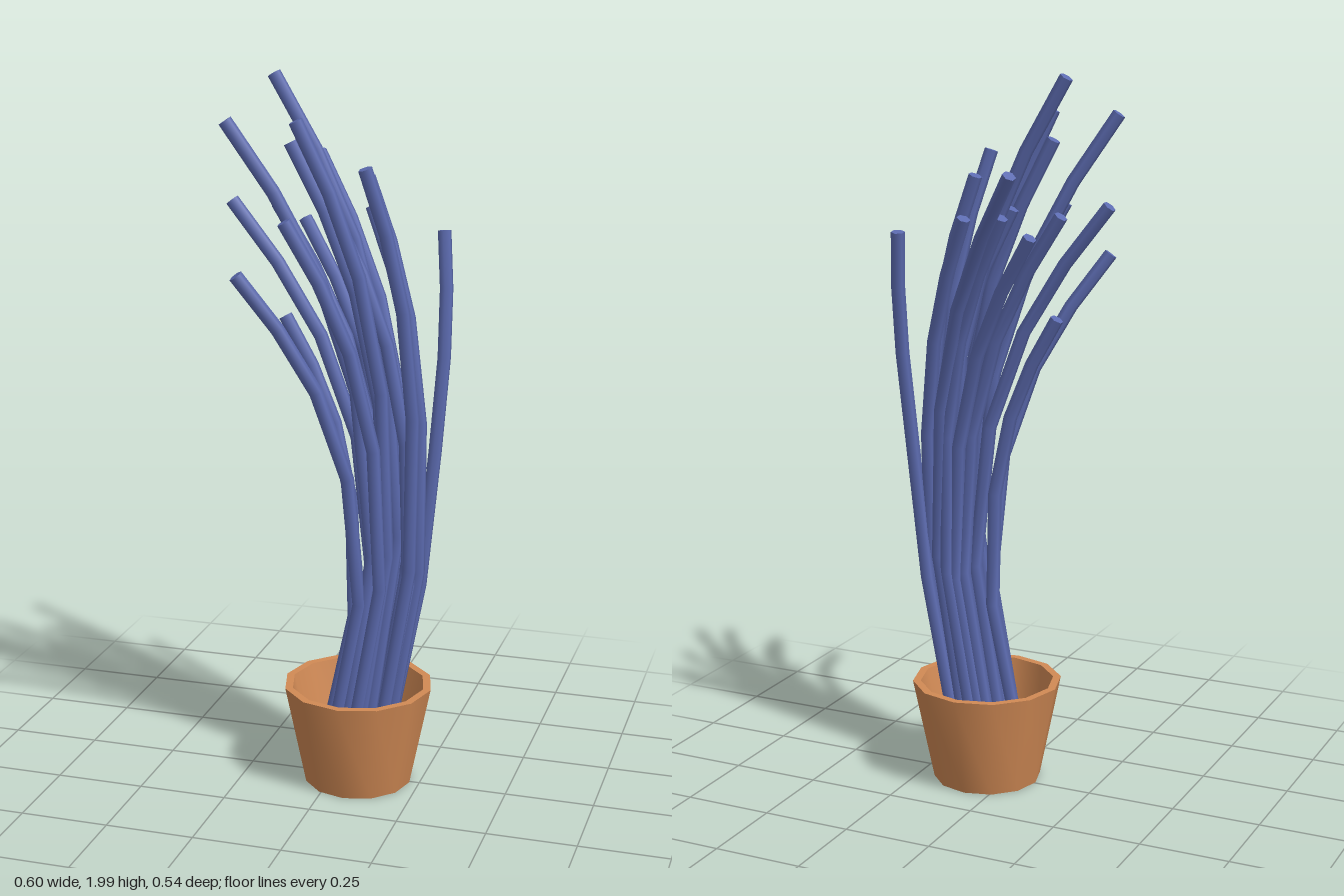
import * as THREE from 'three';
import { toCreasedNormals } from 'three/addons/utils/BufferGeometryUtils.js';

// Each stem: base x, base z, tip x, tip y, tip z
const STEMS = [
  [0.10, -0.035, -0.12, 1.75, -0.255],
  [0.05, -0.03, -0.13, 1.58, -0.15],
  [0.07, -0.04, -0.055, 1.63, -0.165],
  [0.13, -0.015, 0.06, 1.62, -0.152],
  [0.03, -0.02, -0.185, 1.63, -0.075],
  [0.08, -0.005, -0.175, 1.985, -0.022],
  [0.02, 0.03, -0.28, 1.65, 0.027],
  [-0.035, 0.035, -0.135, 1.34, 0.017],
  [0.12, 0.03, 0.0, 1.63, 0.023],
  [0.14, 0.01, 0.085, 1.72, -0.028],
  [0.06, 0.045, -0.105, 1.815, 0.057],
  [0.03, 0.07, -0.245, 1.88, 0.173],
  [-0.005, 0.08, -0.195, 1.49, 0.248],
  [0.07, 0.075, -0.055, 1.885, 0.168],
  [0.055, 0.09, -0.075, 1.63, 0.21],
  [0.125, 0.05, 0.13, 1.77, 0.165],
  [0.13, -0.035, 0.27, 1.57, -0.125],
];

// Shared bend rule per joint: height fraction, sideways lean, share of the spread to the tip
const HEIGHT = [0, 0.36, 0.61, 0.78, 0.9, 1];
const LEAN = [0, 0.103, 0.112, 0.09, 0.05, 0];
const SPREAD = [0, 0.02, 0.2, 0.47, 0.74, 1];

const RADIUS = 0.019;
const SIDES = 6;
const FLOOR = 0.03;

function stemGeometry([bx, bz, tx, ty, tz]) {
  const points = HEIGHT.map((h, i) => new THREE.Vector3(
    bx + LEAN[i] + SPREAD[i] * (tx - bx),
    FLOOR + h * (ty - FLOOR),
    bz + SPREAD[i] * (tz - bz)
  ));
  const curve = new THREE.CatmullRomCurve3(points);
  curve.getUtoTmapping = (u) => u; // one ring at each joint
  return new THREE.TubeGeometry(curve, points.length - 1, RADIUS, SIDES);
}

// Flat cap over the last ring of a tube
function capGeometry(tube) {
  const pos = tube.attributes.position;
  const start = pos.count - (SIDES + 1);
  const corner = (i) => new THREE.Vector3().fromBufferAttribute(pos, start + i);
  const corners = [];
  for (let i = 1; i < SIDES - 1; i++) corners.push(corner(0), corner(i), corner(i + 1));
  const cap = new THREE.BufferGeometry().setFromPoints(corners);
  cap.computeVertexNormals();
  return cap;
}

export function createModel() {
  const model = new THREE.Group();
  model.name = 'pottedPlant';
  const clay = new THREE.MeshStandardMaterial({ color: 0xd18a55 });
  const leaf = new THREE.MeshStandardMaterial({ color: 0x5c6bb0 });
  const leafCap = new THREE.MeshStandardMaterial({ color: 0x5c6bb0, side: THREE.DoubleSide });

  // Hollow twelve-sided pot with a flat rim and floor
  const profile = [[0, 0], [0.152, 0], [0.211, 0.29], [0.189, 0.29], [0.135, 0.025], [0, 0.025]]
    .map(([r, y]) => new THREE.Vector2(r, y));
  const pot = new THREE.Mesh(toCreasedNormals(new THREE.LatheGeometry(profile, 12), 0.6), clay);
  pot.name = 'pot';
  pot.position.set(0.07, 0, 0.005);
  model.add(pot);

  // Bundle of leaning stems that fan out towards the top
  const stems = new THREE.Group();
  stems.name = 'stems';
  STEMS.forEach((data, i) => {
    const stem = new THREE.Group();
    stem.name = `stem${i + 1}`;
    const tube = stemGeometry(data);
    const stalk = new THREE.Mesh(tube, leaf);
    stalk.name = 'stalk';
    const tip = new THREE.Mesh(capGeometry(tube), leafCap);
    tip.name = 'tip';
    stem.add(stalk, tip);
    stems.add(stem);
  });
  model.add(stems);
  return model;
}
